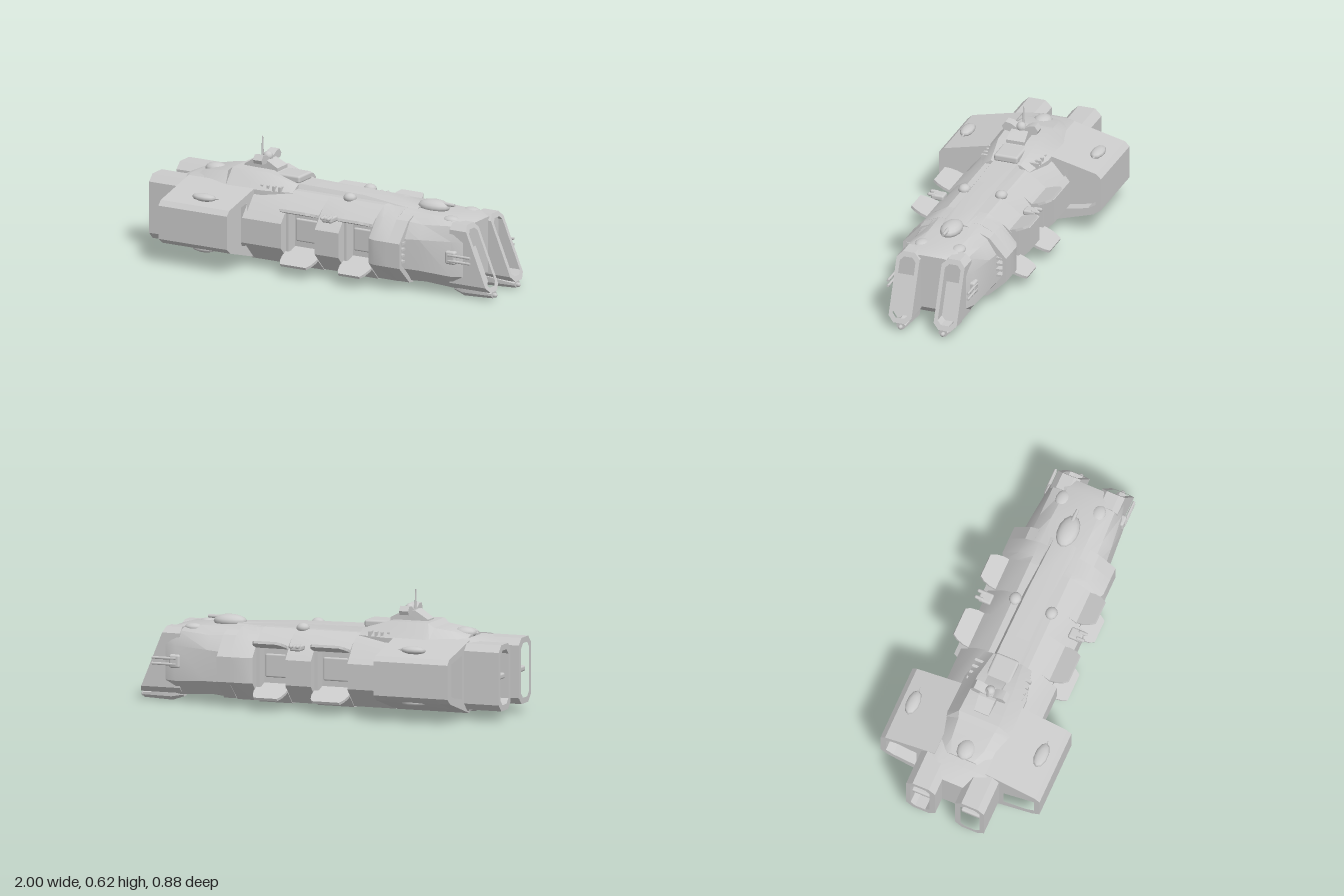
import * as THREE from 'three';
import { toCreasedNormals } from 'three/addons/utils/BufferGeometryUtils.js';
import { RoundedBoxGeometry } from 'three/addons/geometries/RoundedBoxGeometry.js';

const material = new THREE.MeshStandardMaterial({ color: 0xcccccc });

export function createModel() {
  const ship = new THREE.Group();
  ship.name = 'spaceship';

  const add = (name, geometry, x = 0, y = 0, z = 0, parent = ship) => {
    const mesh = new THREE.Mesh(geometry, material);
    mesh.name = name;
    mesh.position.set(x, y, z);
    parent.add(mesh);
    return mesh;
  };

  // half section -> full symmetric section
  const full = (half) => [...half, ...half.map(([u, y]) => [-u, y]).reverse()];
  const flip = (pts, s) => pts.map(([u, y]) => [u * s, y]);

  // skin over cross-sections [x, [[side, height], ...]] running along x
  function loft(stations) {
    const rings = stations.map(([x, pts]) => {
      let v = pts.map(([u, y]) => new THREE.Vector2(u, y));
      if (THREE.ShapeUtils.isClockWise(v)) v = v.reverse();
      return { x, v };
    });
    const n = rings[0].v.length, pos = [], idx = [];
    for (const { x, v } of rings) for (const p of v) pos.push(x, p.y, -p.x);
    for (let i = 0; i < rings.length - 1; i++) {
      for (let j = 0; j < n; j++) {
        const a = i * n + j, b = i * n + (j + 1) % n;
        idx.push(a, b, b + n, a, b + n, a + n);
      }
    }
    const last = (rings.length - 1) * n;
    for (const [a, b, c] of THREE.ShapeUtils.triangulateShape(rings[0].v, [])) idx.push(c, b, a);
    for (const [a, b, c] of THREE.ShapeUtils.triangulateShape(rings.at(-1).v, [])) idx.push(last + a, last + b, last + c);
    const g = new THREE.BufferGeometry();
    g.setAttribute('position', new THREE.Float32BufferAttribute(pos, 3));
    g.setIndex(idx);
    return toCreasedNormals(g, 0.5);
  }

  // hollow rim extruded along x
  function rim(pts, hole, x0, x1) {
    const vec = (list) => list.map(([u, y]) => new THREE.Vector2(u, y));
    const shape = new THREE.Shape(vec(pts));
    shape.holes.push(new THREE.Path(vec(hole)));
    const g = new THREE.ExtrudeGeometry(shape, { depth: x1 - x0, bevelEnabled: false });
    return g.rotateY(Math.PI / 2).translate(x0, 0, 0);
  }

  const rect = (u0, u1, y0, y1, c) => [[u0, y0 + c], [u0 + c, y0], [u1 - c, y0], [u1, y0 + c],
    [u1, y1 - c], [u1 - c, y1], [u0 + c, y1], [u0, y1 - c]];

  // main hull, notched where the hangar bays are
  const solid = full([[0.1, 0.03], [0.17, 0.04], [0.265, 0.14], [0.265, 0.27], [0.18, 0.37], [0.11, 0.41]]);
  const wide = full([[0.1, 0.03], [0.17, 0.04], [0.28, 0.14], [0.28, 0.27], [0.19, 0.37], [0.11, 0.405]]);
  const notched = full([[0.1, 0.03], [0.17, 0.035], [0.235, 0.1], [0.15, 0.13],
    [0.15, 0.31], [0.235, 0.325], [0.18, 0.37], [0.11, 0.41]]);
  const stern = full([[0.1, 0.04], [0.17, 0.05], [0.21, 0.12], [0.21, 0.33], [0.17, 0.395], [0.11, 0.41]]);
  add('sternHull', loft([[-0.91, full([[0.06, 0.09], [0.1, 0.09], [0.1, 0.12], [0.1, 0.33], [0.1, 0.37], [0.06, 0.37]])],
    [-0.82, stern], [-0.42, stern]]));
  add('hullAft', loft([[-0.42, solid], [-0.19, solid]]));
  add('hullBayAft', loft([[-0.19, notched], [0.01, notched]]));
  add('hullMiddle', loft([[0.01, solid], [0.15, solid]]));
  add('hullBayFore', loft([[0.15, notched], [0.33, notched]]));
  add('hullFore', loft([[0.33, solid], [0.37, wide], [0.45, wide]]));

  // bow
  add('bow', loft([
    [0.44, full([[0.1, 0.03], [0.17, 0.05], [0.235, 0.13], [0.235, 0.28], [0.18, 0.37], [0.11, 0.405]])],
    [0.6, full([[0.1, 0.05], [0.15, 0.055], [0.225, 0.13], [0.22, 0.29], [0.175, 0.36], [0.11, 0.4]])],
    [0.78, full([[0.1, 0.04], [0.15, 0.045], [0.21, 0.12], [0.2, 0.3], [0.17, 0.375], [0.1, 0.395]])],
    [0.84, full([[0.06, 0.09], [0.15, 0.08], [0.185, 0.12], [0.185, 0.3], [0.165, 0.36], [0.06, 0.38]])],
  ]));

  for (const s of [1, -1]) {
    const side = new THREE.Group();
    side.name = s > 0 ? 'rightHandParts' : 'leftHandParts';
    side.name = s > 0 ? 'leftSide' : 'rightSide';
    ship.add(side);
    const put = (name, g, x, y, z) => add(name, g, x, y, z === undefined ? 0 : z * s, side);

    // side pod, hollow at both ends
    const pod = flip([[0.14, 0.035], [0.4, 0.115], [0.44, 0.145], [0.44, 0.32], [0.415, 0.345], [0.14, 0.41]], -s);
    const podHole = flip([[0.24, 0.12], [0.37, 0.145], [0.41, 0.17], [0.41, 0.3], [0.38, 0.32], [0.24, 0.345]], -s);
    put('podBody', loft([[-0.75, pod], [-0.46, pod]]));
    put('podRearRim', rim(pod, podHole, -0.81, -0.75));
    put('podFrontRim', rim(pod, podHole, -0.46, -0.405));
    for (const y of [0.375, 0.108]) {
      put('podFin', new THREE.SphereGeometry(1, 10, 6).scale(0.07, 0.02, 0.035), -0.59, y, 0.355);
      put('podFinTip', new THREE.ConeGeometry(0.014, 0.06, 6).rotateZ(-Math.PI / 2), -0.53, y, 0.355);
    }

    // engine nacelle
    const nacelle = flip(rect(0.055, 0.215, 0.06, 0.4, 0.035), -s);
    const small = flip(rect(0.085, 0.19, 0.09, 0.37, 0.025), -s);
    put('nacelleBody', loft([[-0.92, nacelle], [-0.76, nacelle]]));
    put('nacelleRim', rim(nacelle, small, -1, -0.92));
    put('nozzleDivider', new RoundedBoxGeometry(0.07, 0.03, 0.12, 2, 0.01), -0.945, 0.23, 0.137);

    // slanted, hollow bow prong
    const prong = flip(rect(0.06, 0.185, 0.05, 0.39, 0.03), -s);
    const prongHole = flip(rect(0.08, 0.165, 0.075, 0.365, 0.02), -s);
    const slant = (g) => {
      const p = g.attributes.position;
      for (let i = 0; i < p.count; i++) {
        if (p.getX(i) > 0.8) p.setX(i, p.getX(i) - 0.41 * (p.getY(i) - 0.05));
      }
      g.computeVertexNormals();
      return g;
    };
    put('prongRim', slant(rim(prong, prongHole, 0.92, 0.985)));
    put('prongBody', slant(loft([[0.76, prong], [0.925, prong]])));
    put('prongFoot', loft([
      [0.76, flip(rect(0.09, 0.14, 0.03, 0.08, 0.01), -s)],
      [0.82, flip(rect(0.075, 0.155, 0.01, 0.08, 0.02), -s)],
      [0.98, flip(rect(0.09, 0.14, 0.015, 0.055, 0.015), -s)]]));
    put('footGun', new THREE.CapsuleGeometry(0.012, 0.05, 4, 8).rotateZ(Math.PI / 2), 0.963, 0.03, 0.115);

    // hollow shoulder beside the bow with gill fins
    put('shoulderRim', rim(
      flip([[0.14, 0.04], [0.18, 0.045], [0.28, 0.14], [0.28, 0.27], [0.19, 0.37], [0.14, 0.39]], -s),
      flip([[0.19, 0.1], [0.26, 0.155], [0.26, 0.255], [0.19, 0.32]], -s), 0.45, 0.52));
    for (let i = 0; i < 4; i++) {
      put('gillFin', new THREE.BoxGeometry(0.05, 0.012, 0.05), 0.5, 0.17 + i * 0.032, 0.235);
    }

    // bow guns
    for (const y of [0.205, 0.235]) {
      put('gunBarrel', new THREE.CylinderGeometry(0.007, 0.007, 0.13, 8).rotateZ(Math.PI / 2), 0.835, y, 0.217);
    }
    put('gunMount', new RoundedBoxGeometry(0.06, 0.07, 0.04, 2, 0.012), 0.78, 0.22, 0.2);

    // hangar bays with open doors
    for (const [x, w] of [[-0.09, 0.2], [0.24, 0.175]]) {
      const h = w / 2, c = 0.025;
      const doorShape = new THREE.Shape([[-h, 0], [h, 0], [h, 0.04], [h - 0.01, 0.105 - c], [h - c, 0.105],
        [c - h, 0.105], [0.01 - h, 0.105 - c], [-h, 0.04]].map(([a, b]) => new THREE.Vector2(a, b)));
      for (const [y, z, tilt] of [[0.325, 0.22, 0.35], [0.11, 0.215, -0.4]]) {
        const g = new THREE.ExtrudeGeometry(doorShape, { depth: 0.014, bevelEnabled: false }).translate(0, 0, -0.007);
        put('bayDoor', g, x, y, z).rotation.x = s * (Math.PI / 2 - tilt);
      }
      put('bayBackPanel', new RoundedBoxGeometry(w - 0.05, 0.12, 0.02, 2, 0.008), x, 0.22, 0.152);
      for (const e of [-1, 1]) put('bayPost', new THREE.BoxGeometry(0.016, 0.21, 0.07), x + e * (h - 0.008), 0.22, 0.18);
    }
    // turret between the bays
    put('sideTurret', new RoundedBoxGeometry(0.06, 0.03, 0.07, 2, 0.01), 0.09, 0.335, 0.25);
    for (const dx of [-0.018, 0.018]) {
      put('sideTurretBarrel', new THREE.CapsuleGeometry(0.01, 0.03, 3, 8).rotateX(Math.PI / 2), 0.09 + dx, 0.345, 0.28);
    }

    // deck details
    put('deckDome', new THREE.SphereGeometry(0.035, 12, 8).scale(1, 0.7, 0.9), 0.12, 0.415, 0.1);
    put('bowDome', new THREE.SphereGeometry(0.04, 12, 8).scale(1.2, 0.5, 0.9), 0.72, 0.385, 0.1);
    for (let i = 0; i < 4; i++) {
      put('deckRib', new THREE.BoxGeometry(0.014, 0.03, 0.05), -0.37 + i * 0.035, 0.41, 0.13);
    }
  }

  // superstructure and spine
  const deck = (x, top, w, b) => [x, full([[b, 0.37], [b, 0.4], [w, top]])];
  add('superstructure', loft([deck(-0.78, 0.42, 0.06, 0.11), deck(-0.71, 0.44, 0.09, 0.15), deck(-0.6, 0.455, 0.1, 0.17),
    deck(-0.57, 0.478, 0.11, 0.175), deck(-0.36, 0.478, 0.1, 0.17), deck(-0.2, 0.43, 0.08, 0.13)]));
  add('spine', loft([deck(-0.25, 0.435, 0.065, 0.085), deck(0.18, 0.428, 0.06, 0.08), deck(0.5, 0.41, 0.05, 0.08)]));
  add('spineBox', new RoundedBoxGeometry(0.18, 0.04, 0.13, 2, 0.012), -0.29, 0.45, 0);
  add('sternDome', new THREE.SphereGeometry(0.06, 12, 8).scale(1, 0.5, 0.8), -0.73, 0.425, 0);

  // command tower with sensor wings and mast
  const box = (w, y0, y1) => full([[w, y0], [w, y1]]);
  add('tower', loft([[-0.54, box(0.04, 0.465, 0.485)], [-0.47, box(0.045, 0.465, 0.53)],
    [-0.41, box(0.045, 0.465, 0.525)], [-0.34, box(0.05, 0.465, 0.49)]]));
  const wing = full([[0.025, 0.515], [0.055, 0.505], [0.09, 0.51], [0.098, 0.53], [0.08, 0.555], [0.05, 0.55], [0.025, 0.535]]);
  add('sensorWings', loft([[-0.455, wing], [-0.405, wing]]));
  add('sensorBall', new THREE.SphereGeometry(0.026, 14, 10), -0.425, 0.532, 0);
  add('mast', new THREE.CylinderGeometry(0.003, 0.008, 0.12, 8), -0.457, 0.573, 0);

  // bow turret
  add('bowTurret', new THREE.SphereGeometry(1, 14, 8).scale(0.09, 0.035, 0.055), 0.56, 0.412, 0);
  add('bowTurretGun', new THREE.CylinderGeometry(0.008, 0.014, 0.12, 8).rotateZ(-Math.PI / 2), 0.62, 0.43, 0);

  return ship;
}
